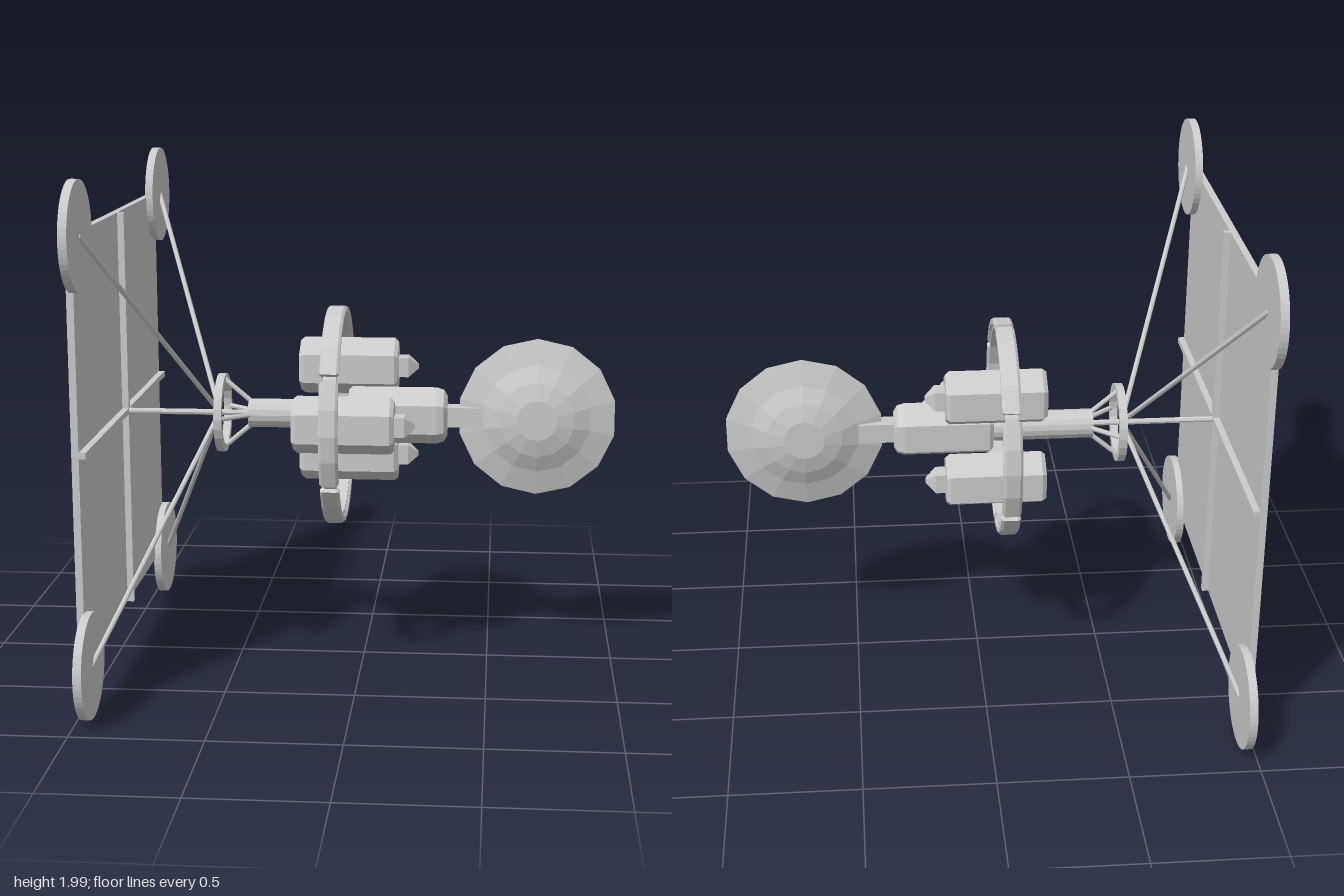
import * as THREE from 'three';

const material = new THREE.MeshStandardMaterial({ color: 0xcccccc, flatShading: true });
const smooth = new THREE.MeshStandardMaterial({ color: 0xcccccc });
const AXIS_Y = 1; // height of the ship's long axis

export function createModel() {
  const model = new THREE.Group();

  const add = (name, geometry, x, y, z, mat = material) => {
    const mesh = new THREE.Mesh(geometry, mat);
    mesh.name = name;
    mesh.position.set(x, y, z);
    model.add(mesh);
    return mesh;
  };
  const box = (name, x0, x1, h, d, y = AXIS_Y, z = 0) =>
    add(name, new THREE.BoxGeometry(x1 - x0, h, d), (x0 + x1) / 2, y, z);
  // Solid turned around the x axis; profile is [radius, x], a corner points up
  const turned = (name, profile, sides, y = AXIS_Y, z = 0) => {
    const points = profile.map(([r, x]) => new THREE.Vector2(r, x));
    const geometry = new THREE.LatheGeometry(points, sides, Math.PI / 2);
    geometry.rotateZ(-Math.PI / 2);
    return add(name, geometry, 0, y, z);
  };
  // Thin round bar between two points
  const bar = (name, from, to, radius) => {
    const a = new THREE.Vector3(...from), b = new THREE.Vector3(...to);
    const dir = b.clone().sub(a);
    const mid = a.clone().add(b).multiplyScalar(0.5);
    const mesh = add(name, new THREE.CylinderGeometry(radius, radius, dir.length(), 8), mid.x, mid.y, mid.z);
    mesh.quaternion.setFromUnitVectors(new THREE.Vector3(0, 1, 0), dir.normalize());
  };

  // Square sail with crossed ribs
  box('sail', -1, -0.973, 1.595, 1.595);
  box('sailRibVertical', -0.973, -0.947, 1.595, 0.024);
  box('sailRibHorizontal', -0.973, -0.947, 0.024, 1.595);

  // Corner discs and the struts that hold them
  for (const sy of [-1, 1]) for (const sz of [-1, 1]) {
    const y = AXIS_Y + sy * 0.795, z = sz * 0.795;
    const disc = new THREE.CylinderGeometry(0.2, 0.2, 0.032, 48);
    disc.rotateZ(Math.PI / 2);
    add('cornerDisc', disc, -0.961, y, z, smooth).material = material;
    bar('sailStrut', [-0.95, y, z], [-0.58, AXIS_Y, 0], 0.01);
  }
  bar('mast', [-0.96, AXIS_Y, 0], [-0.44, AXIS_Y, 0], 0.012);

  // Small rear hoop with spokes running to the shaft
  turned('rearHoop', [[0.128, -0.583], [0.157, -0.583], [0.157, -0.552], [0.128, -0.552], [0.128, -0.583]], 24);
  for (let i = 0; i < 4; i++) {
    const c = Math.cos(i * Math.PI / 2), s = Math.sin(i * Math.PI / 2);
    bar('hoopSpoke', [-0.565, AXIS_Y + 0.142 * c, 0.142 * s], [-0.45, AXIS_Y + 0.045 * c, 0.045 * s], 0.01);
  }

  // Shaft and hexagonal core
  turned('shaft', [[0, -0.46], [0.058, -0.46], [0.058, -0.03], [0, -0.03]], 16);
  turned('core', [[0, -0.06], [0.1, -0.06], [0.114, -0.045], [0.114, 0.29], [0.105, 0.318], [0.08, 0.332], [0, 0.332]], 6);
  box('neck', 0.32, 0.47, 0.078, 0.076);

  // Three hexagonal pods with a rear recess and a pointed front cap
  for (let i = 0; i < 3; i++) {
    const a = i * Math.PI * 2 / 3;
    const y = AXIS_Y + 0.207 * Math.sin(a), z = 0.207 * Math.cos(a);
    turned('pod', [[0, -0.23], [0.05, -0.23], [0.05, -0.262], [0.1, -0.262], [0.114, -0.245],
      [0.114, 0.117], [0.1, 0.132], [0, 0.132]], 6, y, z);
    box('podCapBase', 0.125, 0.172, 0.078, 0.078, y, z);
    const tip = new THREE.CylinderGeometry(0.012, 0.055, 0.04, 4);
    tip.rotateY(Math.PI / 4);
    tip.rotateZ(-Math.PI / 2);
    add('podCapTip', tip, 0.192, y, z);
  }

  // Large ring: a slim inner band carrying six raised arcs with gaps between
  turned('ringBand', [[0.393, -0.13], [0.416, -0.13], [0.416, -0.08], [0.393, -0.08], [0.393, -0.13]], 24);
  for (let i = 0; i < 6; i++) {
    const start = Math.PI / 2 + i * Math.PI / 3 + 0.05, span = Math.PI / 3 - 0.1, steps = 4;
    const outline = [];
    for (let j = 0; j <= steps; j++) {
      const a = start + span * j / steps;
      outline.push(new THREE.Vector2(Math.cos(a) * 0.426, Math.sin(a) * 0.426));
    }
    for (let j = steps; j >= 0; j--) {
      const a = start + span * j / steps;
      outline.push(new THREE.Vector2(Math.cos(a) * 0.41, Math.sin(a) * 0.41));
    }
    const arc = new THREE.ExtrudeGeometry(new THREE.Shape(outline), {
      depth: 0.054, bevelEnabled: true, bevelSize: 0.008, bevelThickness: 0.01, bevelSegments: 1,
    });
    arc.translate(0, 0, -0.027);
    arc.rotateY(Math.PI / 2);
    add('ringArc', arc, -0.107, AXIS_Y, 0);
  }

  // Faceted saucer at the bow, thick in the middle with a sharp rim
  const half = [[0.08, 0.078], [0.15, 0.06], [0.215, 0.03], [0.313, 0.003]];
  const profile = [[0, -0.078], ...half.map(([r, h]) => [r, -h]), ...half.slice().reverse(), [0, 0.078]];
  const saucer = new THREE.LatheGeometry(profile.map(([r, h]) => new THREE.Vector2(r, h)), 14);
  saucer.rotateX(Math.PI / 2);
  saucer.rotateZ(Math.PI);
  add('saucer', saucer, 0.685, AXIS_Y, 0);

  return model;
}
